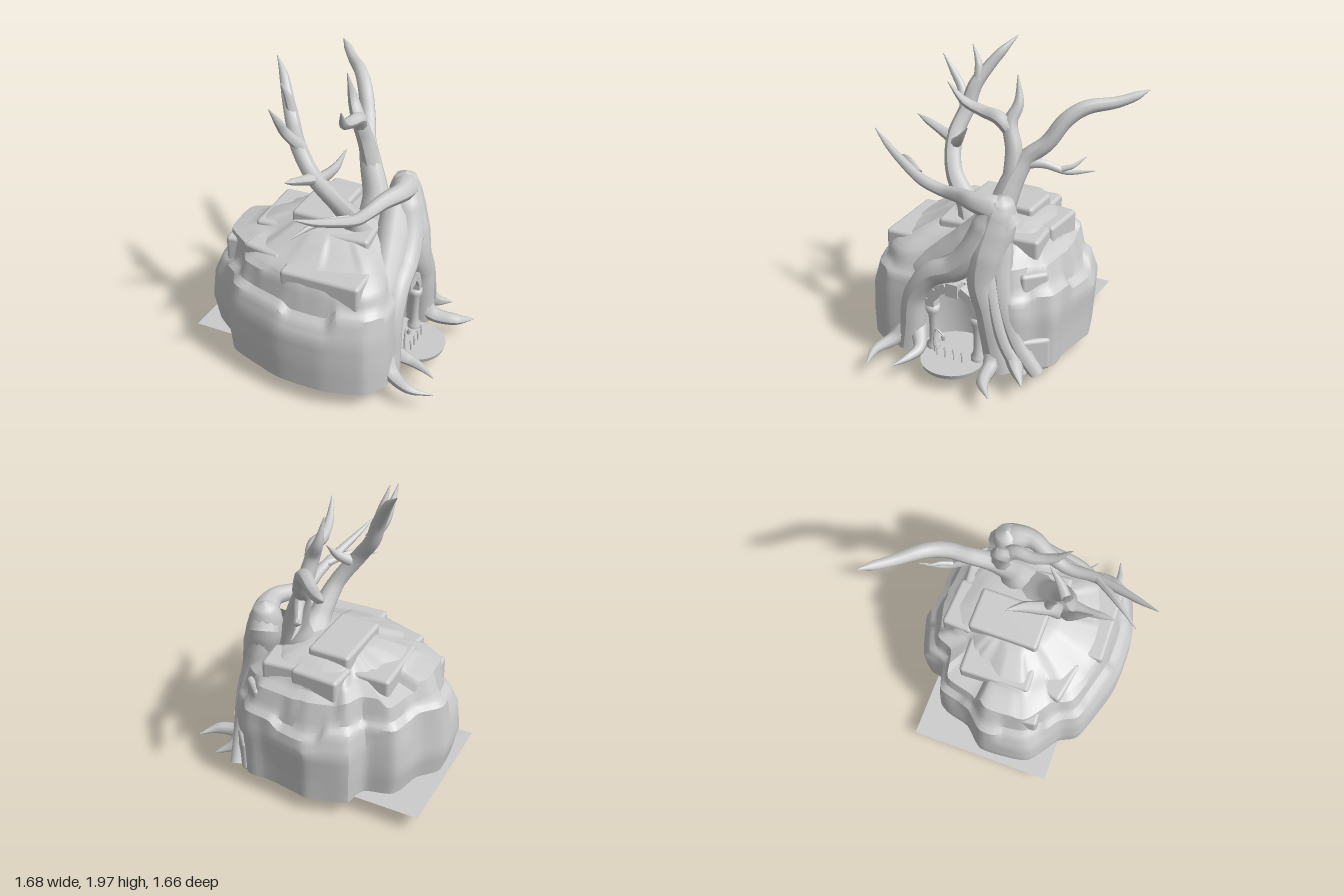
import * as THREE from 'three';
import { toCreasedNormals } from 'three/addons/utils/BufferGeometryUtils.js';
import { RoundedBoxGeometry } from 'three/addons/geometries/RoundedBoxGeometry.js';

const mat = new THREE.MeshStandardMaterial({ color: 0xcccccc, side: THREE.DoubleSide });
const hash = (a, b) => { const s = Math.sin(a * 127.1 + b * 311.7) * 43758.5453; return (s - Math.floor(s)) * 2 - 1; };

export function createModel() {
  const model = new THREE.Group();
  const add = (name, geo, x = 0, y = 0, z = 0, parent = model) => {
    const m = new THREE.Mesh(geo, mat);
    m.name = name;
    m.position.set(x, y, z);
    parent.add(m);
    return m;
  };
  const group = (name) => { const g = new THREE.Group(); g.name = name; model.add(g); return g; };

  // Tapered limb through points [x, y, z, radius], kept above the ground
  const limb = (name, pts, parent, sides = 10) => {
    const curve = new THREE.CatmullRomCurve3(pts.map(p => new THREE.Vector3(p[0], p[1], p[2])));
    const seg = pts.length * 5;
    const geo = new THREE.TubeGeometry(curve, seg, 1, sides);
    const pos = geo.attributes.position, v = new THREE.Vector3();
    for (let i = 0; i <= seg; i++) {
      const c = curve.getPointAt(i / seg);
      const t = curve.getUtoTmapping(i / seg) * (pts.length - 1);
      const k = Math.min(Math.floor(t), pts.length - 2);
      const r = THREE.MathUtils.lerp(pts[k][3], pts[k + 1][3], t - k);
      for (let j = 0; j <= sides; j++) {
        const n = i * (sides + 1) + j;
        v.fromBufferAttribute(pos, n).sub(c).multiplyScalar(r).add(c);
        pos.setXYZ(n, v.x, Math.max(v.y, 0.145), v.z);
      }
    }
    geo.computeVertexNormals();
    return add(name, geo, 0, 0, 0, parent);
  };

  // Rock mound: footprint loop lofted through stepped tiers, with a doorway left open
  const outline = [[-0.4, -0.53], [-0.26, -0.58], [-0.1, -0.62], [0.1, -0.59], [0.31, -0.56], [0.38, -0.47], [0.49, -0.36],
    [0.53, 0], [0.53, 0.3], [0.54, 0.5], [0.46, 0.63], [0.2, 0.71], [-0.1, 0.71], [-0.48, 0.6], [-0.56, 0.48],
    [-0.78, 0.32], [-0.81, 0.02], [-0.7, -0.12], [-0.64, -0.34], [-0.46, -0.4]];
  const loop = new THREE.CatmullRomCurve3(outline.map(p => new THREE.Vector3(p[0], 0, p[1])), true, 'catmullrom', 0.3);
  // Each row: height, then scale towards left side (-x), +x, back and front
  const profile = [[0.15, 0.96, 1, 0.97, 1], [0.33, 1.01, 1, 0.98, 1.01], [0.52, 0.98, 0.99, 1.01, 1], [0.64, 0.95, 0.96, 0.97, 0.95],
    [0.68, 0.89, 0.92, 0.89, 0.88], [0.82, 0.83, 0.87, 0.81, 0.85], [0.86, 0.63, 0.8, 0.71, 0.82], [0.915, 0.57, 0.65, 0.69, 0.58],
    [0.96, 0.42, 0.5, 0.65, 0.47], [0.99, 0.3, 0.35, 0.45, 0.35], [1.0, 0, 0, 0, 0]];
  const tier = [0, 0, 0, 1, 1, 2, 2, 3, 3, 4, 4];
  const cols = 156, sub = 3, rows = (profile.length - 1) * sub, cx = -0.05;
  const verts = [], idx = [];
  // Blocky noise around the loop, with steep ramps between neighbouring blocks
  const blocks = (u, t, seed) => {
    const w = (u * 13 + t * 0.37) % 13, b = Math.floor(w);
    return THREE.MathUtils.lerp(hash(b, t + seed), hash((b + 1) % 13, t + seed), THREE.MathUtils.smoothstep(w - b, 0.78, 1));
  };
  const ringPoint = (k, u) => {
    const t = tier[k], [y, left, right, back, front] = profile[k];
    const p = loop.getPointAt(u % 1);
    const ds = 1 + blocks(u, t, 1) * [0.02, 0.025, 0.04, 0.05, 0][t];
    const dy = blocks(u, t, 30) * [0, 0.05, 0.035, 0.015, 0][t];
    const dx = p.x - cx;
    // Blend the side scales by direction so the tiers turn smoothly
    const wx = dx * dx, wz = p.z * p.z;
    const s = ds * ((dx < 0 ? left : right) * wx + (p.z < 0 ? back : front) * wz) / (wx + wz);
    return new THREE.Vector3(cx + dx * s, y + dy, p.z * s);
  };
  for (let j = 0; j <= rows; j++) {
    const k = Math.min(Math.floor(j / sub), profile.length - 2), f = j / sub - k;
    for (let i = 0; i < cols; i++) {
      const p = ringPoint(k, i / cols).lerp(ringPoint(k + 1, i / cols), f);
      verts.push(p.x, p.y, p.z);
    }
  }
  const inDoor = n => {
    const [x, y, z] = verts.slice(n * 3, n * 3 + 3);
    return x > 0.3 && y < 0.73 && Math.abs(z - 0.05) < 0.25 * Math.sqrt(Math.max(0, 1 - Math.max(0, (y - 0.45) / 0.27) ** 2));
  };
  for (let j = 0; j < rows; j++) for (let i = 0; i < cols; i++) {
    const i2 = (i + 1) % cols, a = j * cols + i, b = j * cols + i2, c = a + cols, d = b + cols;
    if ([a, b, c, d].some(inDoor)) continue;
    idx.push(a, c, b, b, c, d);
  }
  const rock = new THREE.BufferGeometry();
  rock.setAttribute('position', new THREE.Float32BufferAttribute(verts, 3));
  rock.setIndex(idx);
  add('rockMound', toCreasedNormals(rock, 0.6));

  // Worn blocks set into the mound as terraces: centre, size, turn
  const terraces = group('terraces');
  [
    [-0.12, 0.97, -0.03, 0.28, 0.14, 0.46, 0],
    [0.13, 0.92, 0.13, 0.3, 0.13, 0.28, 0.1],
    [-0.38, 0.84, 0.0, 0.26, 0.17, 0.46, 0.03],
    [-0.11, 0.87, -0.33, 0.32, 0.19, 0.2, -0.05],
    [0.15, 0.86, -0.3, 0.24, 0.2, 0.22, 0.1],
    [-0.32, 0.79, 0.34, 0.28, 0.17, 0.24, -0.2],
    [0.12, 0.77, 0.46, 0.52, 0.2, 0.27, 0.03],
    [-0.57, 0.73, 0.17, 0.22, 0.18, 0.34, 0.1],
    [0.33, 0.26, -0.42, 0.2, 0.22, 0.2, 0.7],
    [0.31, 0.48, -0.41, 0.18, 0.2, 0.18, 0.6],
    [0.27, 0.68, -0.38, 0.18, 0.2, 0.18, 0.8],
  ].forEach(([x, y, z, w, h, d, turn]) => {
    add('terraceBlock', new RoundedBoxGeometry(w, h, d, 2, 0.025), x, y, z, terraces).rotation.y = turn;
  });

  // Ground sheet and the bowl below it
  add('groundSheet', new THREE.PlaneGeometry(1.27, 0.94).rotateX(-Math.PI / 2), -0.205, 0.158, 0.01);
  const bowl = [[0.001, 0.035], [0.1, 0.04], [0.16, 0.08], [0.2, 0.155]].map(p => new THREE.Vector2(...p));
  add('bowlUnderneath', new THREE.LatheGeometry(bowl, 14).scale(1.1, 1, 0.87), -0.27, 0, 0.02);

  // Twisted trunk that splits into the doorway arch
  const arch = group('archTrunk');
  limb('leftArchLimb', [[0.47, 0.15, 0.37, 0.1], [0.48, 0.3, 0.35, 0.085], [0.48, 0.52, 0.32, 0.08], [0.47, 0.69, 0.2, 0.08],
    [0.45, 0.77, 0.04, 0.09], [0.42, 0.9, -0.08, 0.1], [0.37, 1.05, -0.15, 0.11], [0.35, 1.16, -0.19, 0.08]], arch, 14);
  limb('rightArchLimb', [[0.44, 0.15, -0.28, 0.11], [0.46, 0.33, -0.24, 0.09], [0.47, 0.55, -0.2, 0.085], [0.45, 0.72, -0.15, 0.1],
    [0.41, 0.88, -0.16, 0.12], [0.36, 1.04, -0.19, 0.12], [0.34, 1.16, -0.21, 0.1], [0.34, 1.24, -0.22, 0.06], [0.34, 1.255, -0.22, 0.002]], arch, 14);
  limb('backRib', [[0.42, 0.15, -0.5, 0.05], [0.45, 0.35, -0.38, 0.05], [0.44, 0.65, -0.28, 0.06], [0.38, 0.9, -0.24, 0.07], [0.34, 1.1, -0.23, 0.06]], arch);
  limb('middleRib', [[0.46, 0.15, -0.42, 0.045], [0.5, 0.35, -0.32, 0.04], [0.5, 0.6, -0.25, 0.04], [0.43, 0.85, -0.19, 0.05]], arch);
  limb('upperRib', [[0.4, 0.5, 0.42, 0.06], [0.42, 0.66, 0.33, 0.07], [0.39, 0.79, 0.17, 0.09], [0.35, 0.92, 0, 0.11], [0.32, 1.05, -0.12, 0.1]], arch);
  limb('overhangingBranch', [[0.33, 1.06, -0.25, 0.1], [0.35, 1.16, -0.19, 0.09], [0.37, 1.19, -0.06, 0.062], [0.31, 1.18, 0.08, 0.05],
    [0.27, 1.165, 0.22, 0.04], [0.26, 1.2, 0.38, 0.036], [0.2, 1.28, 0.58, 0.028], [0.15, 1.34, 0.71, 0.02], [0.1, 1.41, 0.83, 0.003]], arch);
  limb('overhangingTwig', [[0.24, 1.23, 0.42, 0.025], [0.13, 1.26, 0.58, 0.022], [0.02, 1.21, 0.74, 0.003]], arch, 7);

  // Roots spreading from the arch feet
  const roots = group('roots');
  [
    [[0.47, 0.3, 0.39, 0.07], [0.55, 0.2, 0.44, 0.05], [0.69, 0.17, 0.5, 0.03], [0.84, 0.155, 0.47, 0.004]],
    [[0.47, 0.28, 0.32, 0.06], [0.57, 0.19, 0.25, 0.04], [0.68, 0.17, 0.27, 0.025], [0.78, 0.155, 0.32, 0.004]],
    [[0.45, 0.3, -0.24, 0.08], [0.55, 0.2, -0.25, 0.05], [0.7, 0.18, -0.28, 0.04], [0.8, 0.155, -0.37, 0.004]],
    [[0.44, 0.3, -0.34, 0.07], [0.51, 0.2, -0.41, 0.045], [0.6, 0.155, -0.49, 0.004]],
    [[0.38, 0.3, -0.42, 0.06], [0.43, 0.2, -0.46, 0.04], [0.44, 0.155, -0.53, 0.004]],
  ].forEach(p => limb('root', p, roots, 8));

  // Front tree
  const treeA = group('frontTree');
  limb('trunk', [[0.15, 0.93, 0.06, 0.13], [0.13, 1.04, 0.13, 0.075], [0.08, 1.22, 0.26, 0.055], [-0.04, 1.4, 0.32, 0.052],
    [-0.15, 1.56, 0.29, 0.05], [-0.2, 1.7, 0.26, 0.046], [-0.26, 1.81, 0.2, 0.038], [-0.32, 1.91, 0.13, 0.03], [-0.4, 2.0, 0.06, 0.003]], treeA);
  [
    [[-0.21, 1.74, 0.24, 0.035], [-0.23, 1.83, 0.25, 0.026], [-0.25, 1.95, 0.3, 0.003]],
    [[-0.13, 1.56, 0.29, 0.04], [-0.2, 1.67, 0.36, 0.03], [-0.21, 1.76, 0.42, 0.024], [-0.22, 1.87, 0.5, 0.003]],
    [[-0.03, 1.38, 0.31, 0.045], [-0.05, 1.42, 0.43, 0.03], [-0.06, 1.46, 0.53, 0.022], [-0.07, 1.49, 0.61, 0.003]],
    [[-0.02, 1.36, 0.31, 0.04], [0.06, 1.43, 0.23, 0.028], [0.1, 1.53, 0.15, 0.003]],
  ].forEach(p => limb('branch', p, treeA, 8));

  // Back tree
  const treeB = group('backTree');
  limb('trunk', [[0.2, 0.93, -0.08, 0.13], [0.17, 1.1, -0.13, 0.085], [0.11, 1.28, -0.18, 0.07], [0.06, 1.4, -0.24, 0.055],
    [0.01, 1.5, -0.35, 0.05], [-0.05, 1.64, -0.44, 0.048], [-0.12, 1.71, -0.53, 0.045], [-0.25, 1.73, -0.68, 0.035], [-0.33, 1.76, -0.77, 0.028], [-0.39, 1.79, -0.83, 0.003]], treeB);
  [
    [[0.12, 1.28, -0.17, 0.06], [0.08, 1.45, -0.16, 0.055], [0.05, 1.6, -0.12, 0.048], [0, 1.71, -0.15, 0.035], [-0.03, 1.88, -0.13, 0.003]],
    [[0.06, 1.55, -0.13, 0.045], [0.08, 1.63, -0.06, 0.045], [0.07, 1.65, 0.05, 0.038], [0.09, 1.7, 0.17, 0.03], [0.12, 1.82, 0.27, 0.003]],
    [[0.08, 1.37, -0.22, 0.04], [0.03, 1.37, -0.34, 0.03], [-0.03, 1.32, -0.47, 0.02], [-0.08, 1.34, -0.63, 0.003]],
    [[-0.01, 1.34, -0.44, 0.02], [-0.04, 1.36, -0.5, 0.015], [-0.1, 1.41, -0.56, 0.003]],
  ].forEach(p => limb('branch', p, treeB, 8));

  // Domed alcove and its round doorstep
  const alcove = [[0.25, 0.15], [0.25, 0.46], [0.19, 0.61], [0.1, 0.68], [0.001, 0.7]].map(p => new THREE.Vector2(...p));
  add('alcoveWall', new THREE.LatheGeometry(alcove, 20, Math.PI, Math.PI), 0.47, 0, 0.05);
  add('doorstep', new THREE.CylinderGeometry(0.205, 0.195, 0.03, 40), 0.53, 0.148, 0.025);

  // Door frame: turned pillars, stone arch blocks and keystone
  const frame = group('doorFrame');
  const pillar = [[0.045, 0], [0.045, 0.03], [0.03, 0.05], [0.026, 0.13], [0.03, 0.24], [0.045, 0.27], [0.045, 0.31], [0.001, 0.31]]
    .map(p => new THREE.Vector2(...p));
  for (const z of [0.2, -0.12]) add('pillar', new THREE.LatheGeometry(pillar, 14), 0.47, 0.16, z, frame);
  for (let i = 0; i < 7; i++) {
    const a = i * Math.PI / 6, key = i === 3;
    const block = add(key ? 'keystone' : 'archBlock', new THREE.BoxGeometry(key ? 0.09 : 0.07, key ? 0.09 : 0.06, 0.085),
      0.47, 0.48 + Math.sin(a) * 0.15, 0.04 + Math.cos(a) * 0.165, frame);
    block.rotation.x = Math.PI / 2 - a;
  }

  // Low spiked fence and a hanging lantern
  const fence = group('fence');
  for (const z of [0.13, 0.07, 0.01, -0.05]) {
    add('stake', new THREE.CylinderGeometry(0.005, 0.005, 0.06, 6), 0.55, 0.19, z, fence);
    add('spike', new THREE.ConeGeometry(0.013, 0.03, 4), 0.55, 0.232, z, fence);
  }
  const lantern = group('lantern');
  limb('lanternPost', [[0.52, 0.16, 0.16, 0.008], [0.52, 0.27, 0.165, 0.007], [0.52, 0.33, 0.15, 0.006], [0.52, 0.3, 0.1, 0.005]], lantern, 6);
  add('lanternCage', new THREE.CylinderGeometry(0.016, 0.012, 0.035, 6), 0.52, 0.28, 0.1, lantern);
  return model;
}
